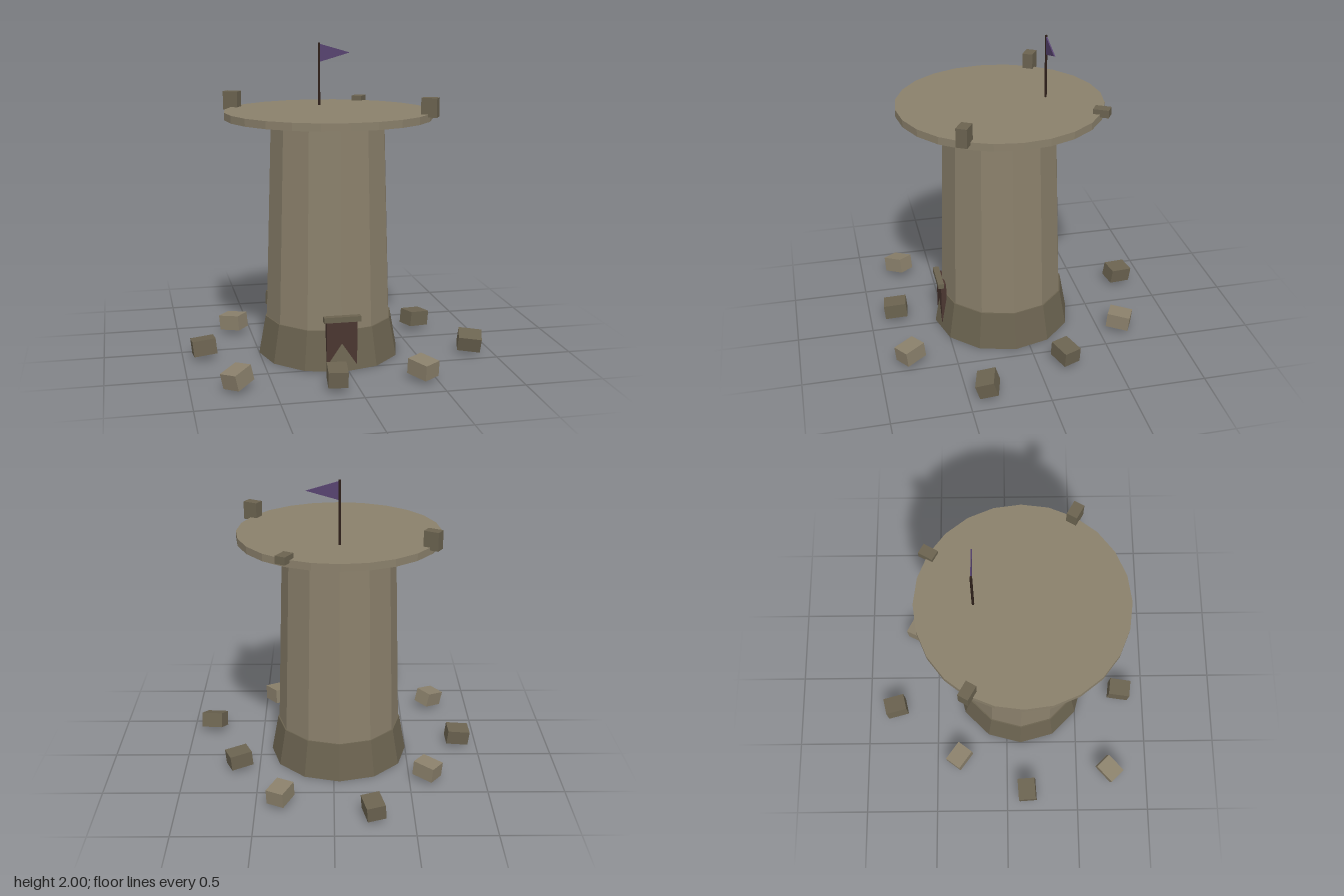
import * as THREE from 'three';

const mat = (name, color) => {
  const m = new THREE.MeshStandardMaterial({ color, flatShading: true });
  m.name = name;
  return m;
};

export function createModel() {
  const paleStone = mat('paleStone', 0x8a806b);
  const darkStone = mat('darkStone', 0x6b6350);
  const doorWood = mat('doorWood', 0x4a3630);
  const poleWood = mat('poleWood', 0x2e201a);
  const flagCloth = mat('flagCloth', 0x57436f);
  flagCloth.side = THREE.DoubleSide;

  const root = new THREE.Group();
  root.name = 'ruinedTower';
  const CX = -0.037, CZ = 0.1; // tower axis

  const add = (name, geometry, material, x, y, z, parent = root) => {
    const mesh = new THREE.Mesh(geometry, material);
    mesh.name = name;
    mesh.position.set(x, y, z);
    parent.add(mesh);
    return mesh;
  };
  // Upright round part standing between two heights on the tower axis
  const drum = (name, rTop, rBottom, y0, y1, sides, material) =>
    add(name, new THREE.CylinderGeometry(rTop, rBottom, y1 - y0, sides), material, CX, (y0 + y1) / 2, CZ);

  // Tower
  drum('base', 0.418, 0.463, 0, 0.25, 12, darkStone);
  drum('shaft', 0.37, 0.417, 0.01, 1.55, 12, paleStone);
  drum('platform', 0.665, 0.665, 1.54, 1.588, 24, paleStone);

  // Door, sunk into the sloping base, with its lintel
  add('door', new THREE.BoxGeometry(0.195, 0.33, 0.035), doorWood, CX, 0.165, 0.514);
  add('lintel', new THREE.BoxGeometry(0.235, 0.035, 0.04), darkStone, CX, 0.336, 0.533);

  // Surviving battlement blocks: angle in degrees, height
  const battlements = new THREE.Group();
  battlements.name = 'battlements';
  root.add(battlements);
  for (const [deg, h] of [[30, 0.12], [210, 0.12], [300, 0.05]]) {
    const a = THREE.MathUtils.degToRad(deg);
    const block = add('battlementBlock', new THREE.BoxGeometry(0.1, h, 0.07), darkStone,
      CX + 0.665 * Math.cos(a), 1.57 + h / 2, CZ + 0.665 * Math.sin(a), battlements);
    block.rotation.y = -a;
  }

  // Fallen stones in a ring, each pointing outward and leaning a little
  const rubble = new THREE.Group();
  rubble.name = 'rubble';
  root.add(rubble);
  const rolls = [0.3, 0.05, 0, 0.1, 0.1, 0, 0.1, 0, 0];
  const stone = new THREE.BoxGeometry(0.15, 0.1, 0.12);
  rolls.forEach((roll, i) => {
    const a = 0.3 + (i * Math.PI * 2) / 9;
    const r = [0.93, 0.83, 0.73][i % 3];
    const mesh = add('fallenStone', stone, i % 2 ? paleStone : darkStone,
      CX + r * Math.cos(a), 0.085, CZ + r * Math.sin(a), rubble);
    mesh.rotation.set(roll, -a, i === 3 ? -0.2 : -0.1, 'YXZ');
  });

  // Flagpole and pennant
  add('flagpole', new THREE.CylinderGeometry(0.008, 0.008, 0.42, 6), poleWood, CX, 1.79, -0.2);
  const pennant = new THREE.Shape([
    new THREE.Vector2(0, -0.06), new THREE.Vector2(0.207, 0), new THREE.Vector2(0, 0.06),
  ]);
  add('flag', new THREE.ExtrudeGeometry(pennant, { depth: 0.008, bevelEnabled: false }),
    flagCloth, CX, 1.933, -0.204);

  return root;
}
